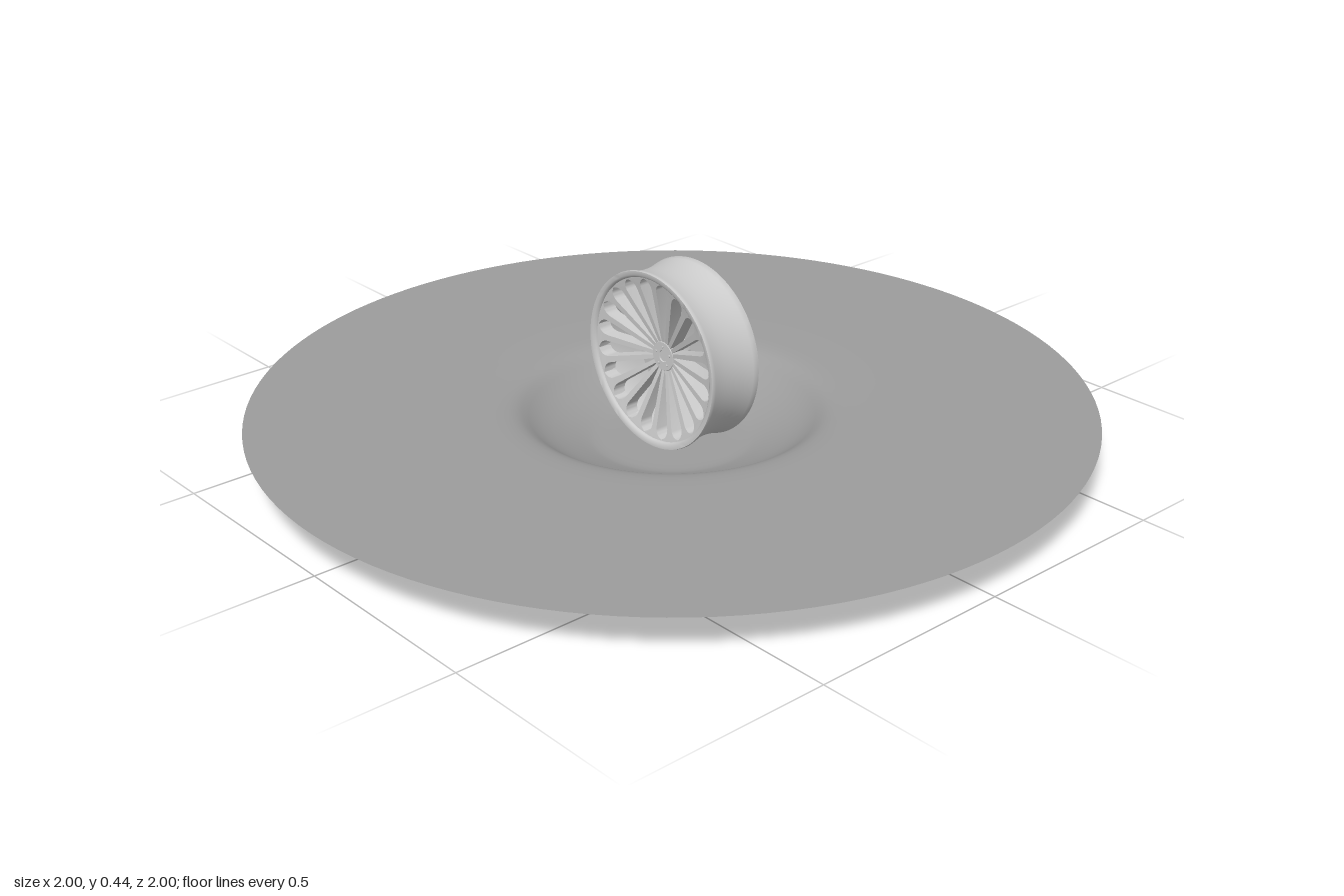
import * as THREE from 'three';
import { toCreasedNormals } from 'three/addons/utils/BufferGeometryUtils.js';

const SPOKES = 20;
const RIM_R = 0.203;
const v2 = (list) => list.map(([x, y]) => new THREE.Vector2(x, y));

// Lathe around the wheel axle (z); profile points are [radius, z]
function axleLathe(points, segments = 96) {
  const g = new THREE.LatheGeometry(v2(points), segments);
  g.rotateX(Math.PI / 2);
  return toCreasedNormals(g, 0.9);
}

// One spoke along +y, flaring into the rim, dished back towards the hub
function spokeGeometry() {
  const half = Math.PI / SPOKES;
  const ex = RIM_R * Math.sin(half), ey = RIM_R * Math.cos(half);
  const s = new THREE.Shape();
  s.moveTo(-0.0045, 0.025);
  s.lineTo(0.0045, 0.025);
  s.lineTo(0.0075, 0.17);
  s.bezierCurveTo(0.009, 0.186, 0.018, 0.193, ex, ey - 0.006);
  s.lineTo(ex, ey);
  s.lineTo(0, RIM_R);
  s.lineTo(-ex, ey);
  s.lineTo(-ex, ey - 0.006);
  s.bezierCurveTo(-0.018, 0.193, -0.009, 0.186, -0.0075, 0.17);
  s.closePath();
  const g = new THREE.ExtrudeGeometry(s, { depth: 0.034, bevelEnabled: false, curveSegments: 8 });
  const p = g.attributes.position;
  for (let i = 0; i < p.count; i++) {
    const t = Math.hypot(p.getX(i), p.getY(i)) / RIM_R;
    p.setZ(i, p.getZ(i) - 0.014 + 0.042 * t);
  }
  return toCreasedNormals(g, 0.6);
}

export function createModel() {
  const group = new THREE.Group();
  const grey = new THREE.MeshStandardMaterial({ color: 0xcccccc });
  const groundGrey = new THREE.MeshStandardMaterial({ color: 0x9d9d9d, side: THREE.DoubleSide });
  const add = (parent, name, geometry, material = grey) => {
    const mesh = new THREE.Mesh(geometry, material);
    mesh.name = name;
    parent.add(mesh);
    return mesh;
  };

  // Thin round ground sheet with a bowl-shaped hollow in the middle
  const sheet = v2([
    [1, 0.1], [0.75, 0.1], [0.55, 0.1], [0.47, 0.0995], [0.43, 0.0985], [0.405, 0.097],
    [0.385, 0.094], [0.37, 0.09], [0.355, 0.083], [0.34, 0.072], [0.325, 0.061],
    [0.305, 0.049], [0.28, 0.037], [0.25, 0.025], [0.22, 0.014], [0.2, 0.007],
    [0.185, 0.003], [0.165, 0.001], [0.13, 0], [0, 0],
  ]);
  add(group, 'dishedGround', new THREE.LatheGeometry(sheet, 128), groundGrey);

  // Wheel standing in the hollow
  const wheel = new THREE.Group();
  wheel.name = 'wheel';
  wheel.position.y = 0.22;
  group.add(wheel);

  // Rim barrel: waisted outside, flared open towards the back inside
  add(wheel, 'rim', axleLathe([
    [0.2125, -0.075], [0.2155, -0.075], [0.2165, -0.071], [0.214, -0.06], [0.21, -0.045],
    [0.207, -0.022], [0.206, 0], [0.207, 0.022], [0.21, 0.042], [0.214, 0.057],
    [0.2165, 0.066], [0.2155, 0.07], [0.206, 0.07], [0.201, 0.066], [0.199, 0.06],
    [0.196, 0.03], [0.196, 0.005], [0.199, -0.02], [0.204, -0.045], [0.2125, -0.075],
  ]));

  // Spokes
  const spoke = spokeGeometry();
  for (let i = 0; i < SPOKES; i++) {
    add(wheel, 'spoke', spoke).rotation.z = (i / SPOKES) * Math.PI * 2;
  }

  // Hub with a shallow centre recess and a bored back
  add(wheel, 'hub', axleLathe([
    [0, -0.024], [0.01, -0.024], [0.01, -0.03], [0.033, -0.03], [0.037, -0.024],
    [0.037, 0.026], [0.035, 0.029], [0.014, 0.029], [0.013, 0.026], [0, 0.026],
  ], 48));

  // Ring of bolts around the hub centre
  const bolt = new THREE.CylinderGeometry(0.003, 0.003, 0.004, 10);
  bolt.rotateX(Math.PI / 2);
  for (let i = 0; i < 5; i++) {
    const a = Math.PI / 2 + (i / 5) * Math.PI * 2;
    add(wheel, 'hubBolt', bolt).position.set(0.024 * Math.cos(a), 0.024 * Math.sin(a), 0.03);
  }
  return group;
}
